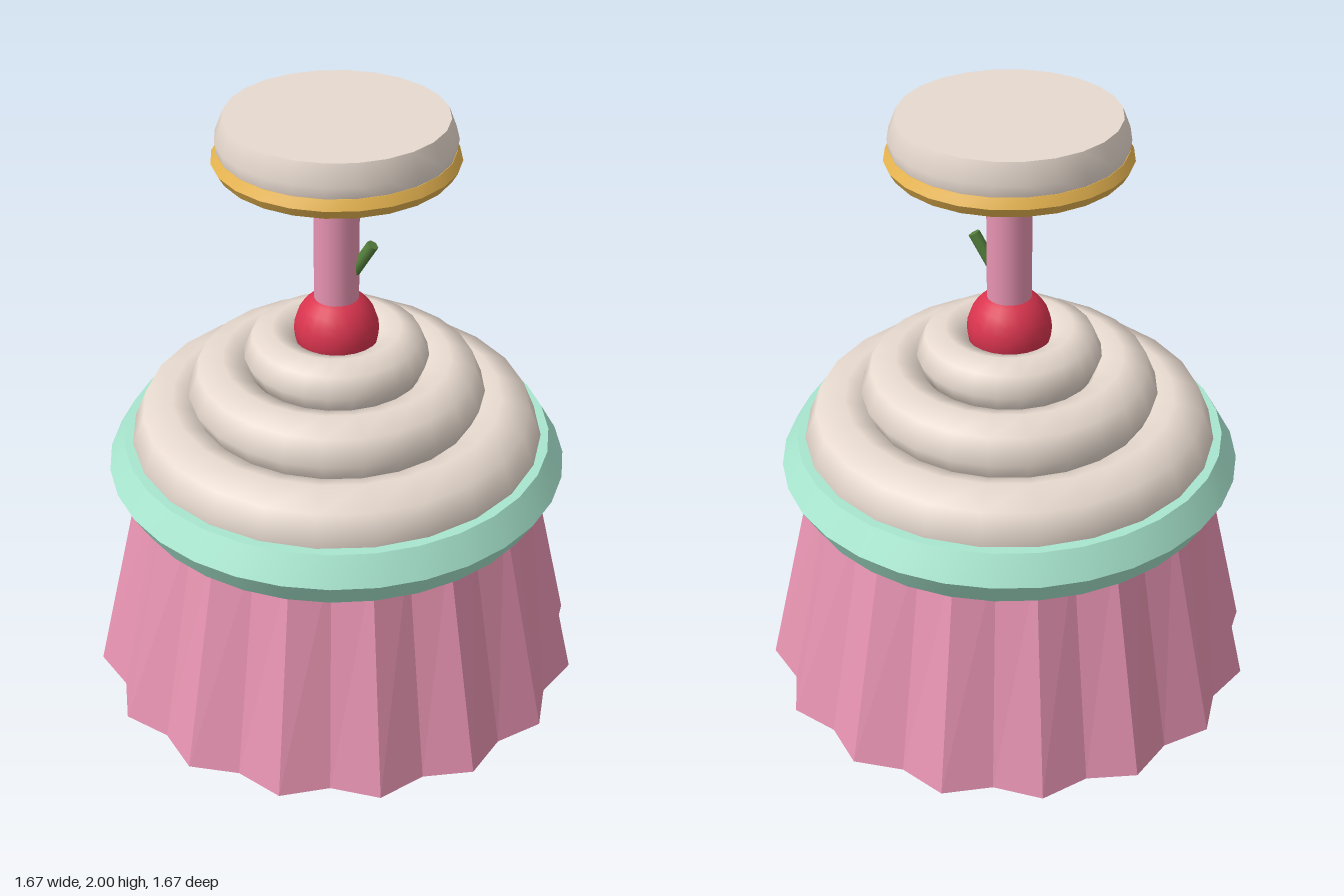
import * as THREE from 'three';
import { toCreasedNormals } from 'three/addons/utils/BufferGeometryUtils.js';

const material = (name, color, extra = {}) => {
  const m = new THREE.MeshStandardMaterial({ color, ...extra });
  m.name = name;
  return m;
};

export function createModel() {
  const cream = material('cream', 0xfff0e4);
  const pink = material('pink', 0xe894b2);
  const wrapperPink = material('wrapper pink', 0xe894b2, { flatShading: true, side: THREE.DoubleSide });
  const mint = material('mint', 0xa8e6cf);
  const red = material('cherry red', 0xd9344e);
  const gold = material('gold', 0xe6b450);
  const green = material('stem green', 0x55803c);
  const tan = material('cake tan', 0xd4b48c);

  const group = new THREE.Group();
  const add = (name, geometry, mat, y = 0) => {
    const mesh = new THREE.Mesh(geometry, mat);
    mesh.name = name;
    mesh.position.y = y;
    group.add(mesh);
    return mesh;
  };
  const ring = (R, r, sides, segments) =>
    new THREE.TorusGeometry(R, r, sides, segments).rotateX(Math.PI / 2);

  // Pleated wrapper: alternate peaks and valleys around a tapered tube
  const pleats = 32, wrapperHeight = 0.8;
  const wrapper = new THREE.CylinderGeometry(1, 1, wrapperHeight, pleats, 1, true);
  const pos = wrapper.attributes.position, uv = wrapper.attributes.uv;
  for (let i = 0; i < pos.count; i++) {
    const peak = Math.round(uv.getX(i) * pleats) % 2 === 0;
    const top = pos.getY(i) > 0;
    const r = peak ? (top ? 0.652 : 0.835) : (top ? 0.62 : 0.78);
    pos.setXYZ(i, pos.getX(i) * r, pos.getY(i), pos.getZ(i) * r);
  }
  add('wrapper', wrapper, wrapperPink, wrapperHeight / 2);

  // Cake inside the wrapper, seen from below
  add('cake', new THREE.CylinderGeometry(0.6, 0.775, 0.8, 32), tan, 0.4);

  // Bevelled band around the rim
  add('rimBand', toCreasedNormals(ring(0.65, 0.105, 6, 32), 0.6), mint, 0.795);

  // Stacked frosting rings: radius, tube, height
  [[0.54, 0.135, 0.89], [0.37, 0.115, 1.05], [0.207, 0.093, 1.177]].forEach(([R, r, y], i) =>
    add(`frostingRing${i + 1}`, ring(R, r, 8, 24), cream, y));

  // Cherry and its slanted stem
  add('cherry', new THREE.SphereGeometry(0.137, 20, 14), red, 1.265);
  const stemStart = new THREE.Vector3(0, 1.38, 0);
  const stemEnd = new THREE.Vector3(0.112, 1.58, -0.036);
  const direction = stemEnd.clone().sub(stemStart);
  const stem = add('cherryStem', new THREE.CylinderGeometry(0.02, 0.02, direction.length(), 6), green);
  stem.position.copy(stemStart).add(stemEnd).multiplyScalar(0.5);
  stem.quaternion.setFromUnitVectors(new THREE.Vector3(0, 1, 0), direction.normalize());

  // Post: grid cells sorted into two winding cream stripes on pink
  const bottom = 1.34, height = 0.52, columns = 24, rows = 52;
  const post = new THREE.CylinderGeometry(0.072, 0.072, height, columns, rows, true);
  post.translate(0, bottom + height / 2, 0);
  const p = post.attributes.position, index = post.index.array;
  const cells = { pink: [], cream: [] };
  for (let i = 0; i < index.length; i += 6) {
    const corners = Array.from(index.slice(i, i + 6));
    const mean = (axis) => corners.reduce((sum, v) => sum + p.getComponent(v, axis), 0) / 6;
    const turn = Math.atan2(mean(2), mean(0)) / Math.PI;
    const t = (mean(1) - 1.5) / 0.235 - turn;
    cells[Math.abs(t - Math.round(t)) < 0.2 ? 'cream' : 'pink'].push(...corners);
  }
  post.setIndex([...cells.pink, ...cells.cream]);
  post.addGroup(0, cells.pink.length, 0);
  post.addGroup(cells.pink.length, cells.cream.length, 1);
  add('stripedPost', post, [pink, cream]);

  // Round top with a gold trim
  const profile = [[0, 1.845], [0.345, 1.845], [0.362, 1.885], [0.37, 1.935], [0.345, 2], [0, 2]]
    .map(([x, y]) => new THREE.Vector2(x, y));
  add('topDisc', toCreasedNormals(new THREE.LatheGeometry(profile, 24), 0.6), cream);
  add('goldTrim', toCreasedNormals(ring(0.348, 0.035, 6, 24), 0.6), gold, 1.867);

  return group;
}
